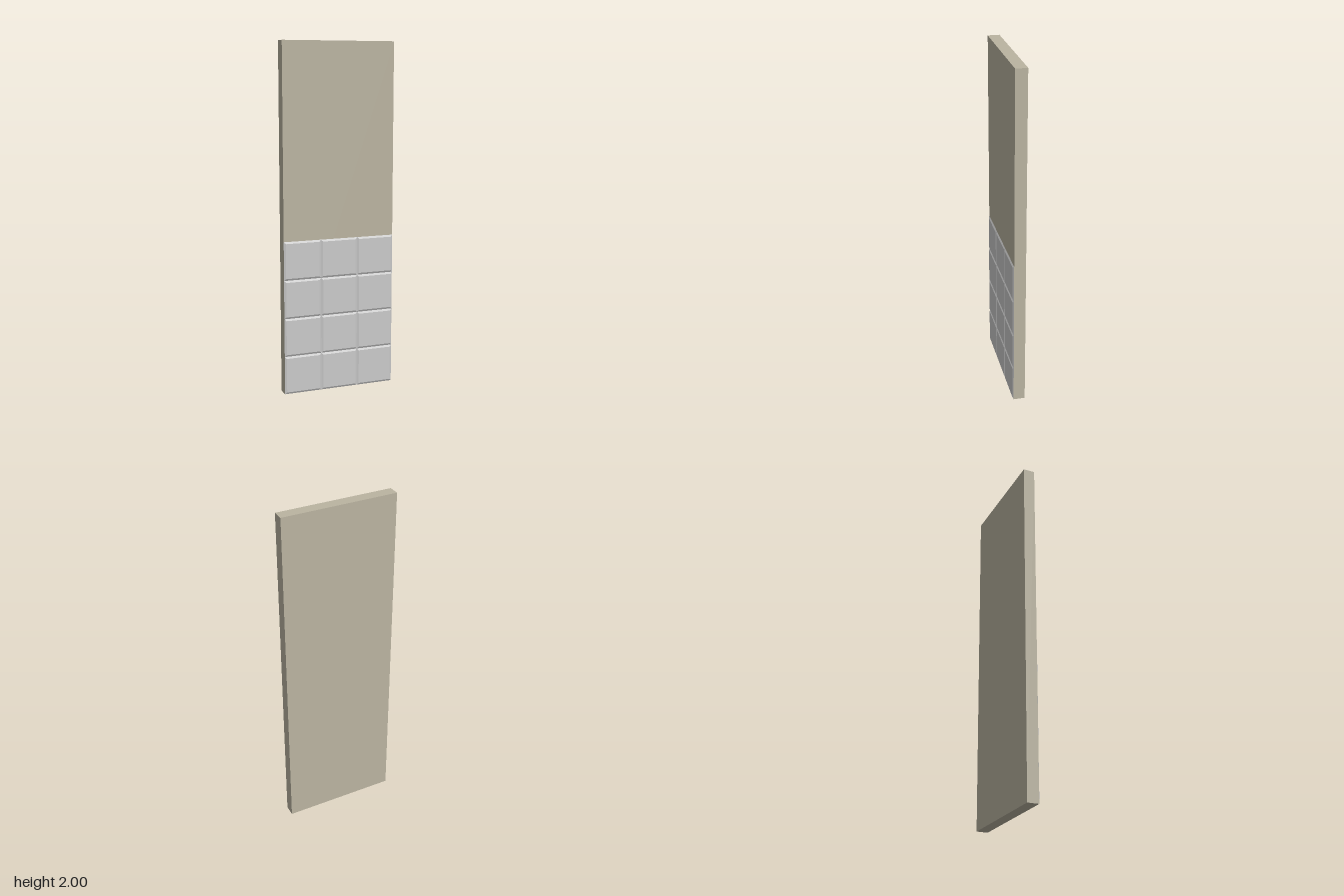
import * as THREE from 'three';

const WIDTH = 2 / 3, HEIGHT = 2, SLAB = 1 / 15, RELIEF = 0.006;
const COLUMNS = 3, ROWS = 4, TILE = WIDTH / COLUMNS, BEVEL = 0.011;

// Square tile whose front face is drawn in to give sloping edges
function tileGeometry() {
  const geometry = new THREE.BoxGeometry(TILE, TILE, RELIEF);
  const p = geometry.attributes.position;
  const scale = 1 - 2 * BEVEL / TILE;
  for (let i = 0; i < p.count; i++) {
    if (p.getZ(i) > 0) p.setXY(i, p.getX(i) * scale, p.getY(i) * scale);
  }
  geometry.computeVertexNormals();
  return geometry;
}

export function createModel() {
  const model = new THREE.Group();
  model.name = 'tiledWallPanel';
  const plaster = new THREE.MeshStandardMaterial({ color: 0xbab4a1 });
  plaster.name = 'beige plaster';
  const ceramic = new THREE.MeshStandardMaterial({ color: 0xcacaca });
  ceramic.name = 'light grey tile';

  // Wall slab
  const wall = new THREE.Mesh(new THREE.BoxGeometry(WIDTH, HEIGHT, SLAB), plaster);
  wall.name = 'wall';
  wall.position.set(0, HEIGHT / 2, -RELIEF / 2);
  model.add(wall);

  // Bevelled tiles over the lower part of the front
  const tiles = new THREE.Group();
  tiles.name = 'tiles';
  const geometry = tileGeometry();
  for (let row = 0; row < ROWS; row++) {
    for (let column = 0; column < COLUMNS; column++) {
      const tile = new THREE.Mesh(geometry, ceramic);
      tile.name = 'tile';
      tile.position.set((column - (COLUMNS - 1) / 2) * TILE, (row + 0.5) * TILE, SLAB / 2);
      tiles.add(tile);
    }
  }
  model.add(tiles);
  return model;
}
